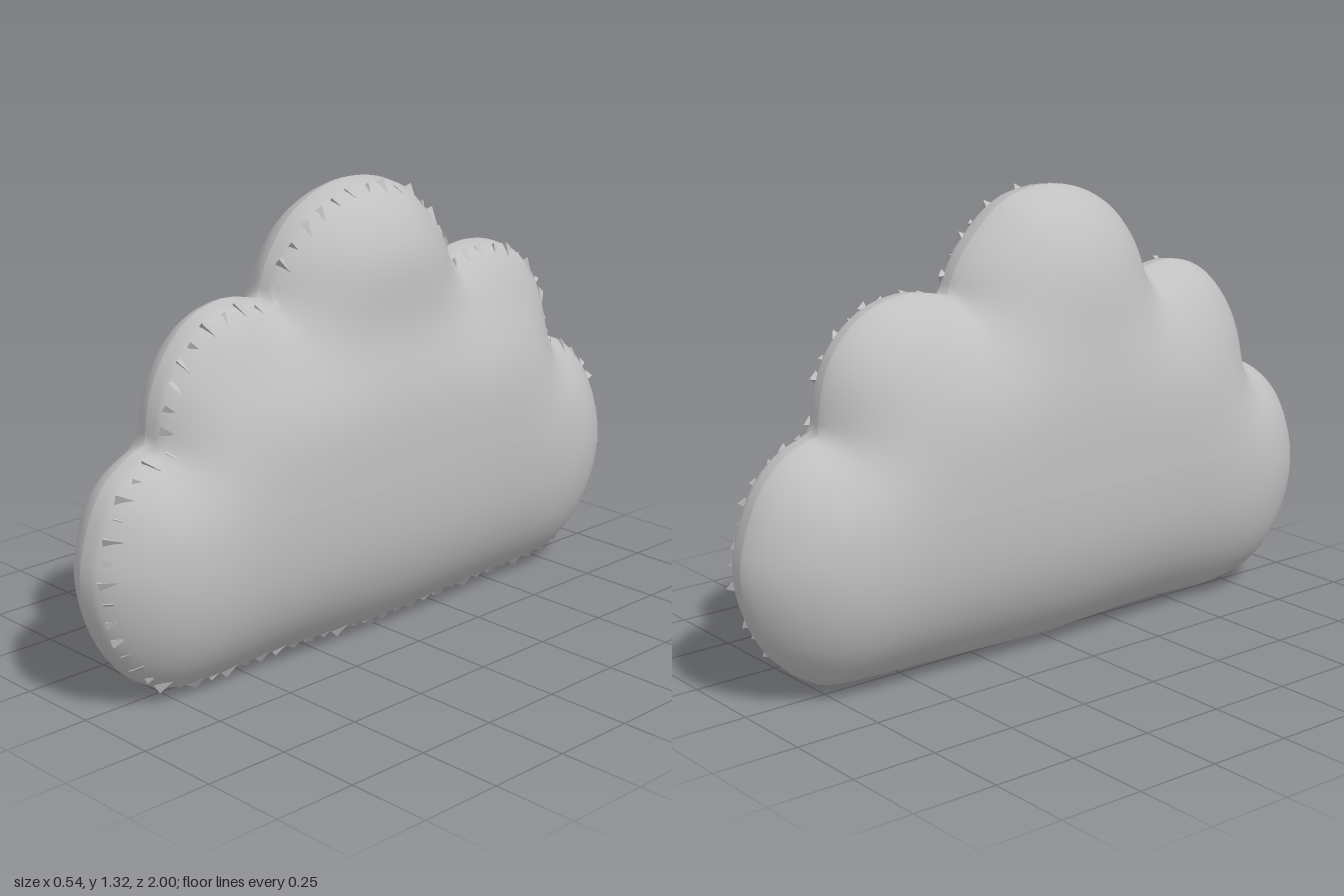
import * as THREE from 'three';

// Cloud outline as [z, y], one list per lobe; lobes meet in sharp notches
const LOBES = [
  [[0, 0], [0.35, 0.015], [0.65, 0.01], [0.8, 0.04], [0.9, 0.12], [0.97, 0.24], [1, 0.38], [0.98, 0.5], [0.93, 0.61], [0.85, 0.68], [0.775, 0.71]],
  [[0.775, 0.71], [0.76, 0.82], [0.71, 0.93], [0.62, 1.02], [0.5, 1.055], [0.38, 1.035]],
  [[0.38, 1.035], [0.34, 1.14], [0.26, 1.24], [0.15, 1.3], [0.02, 1.32], [-0.12, 1.29], [-0.23, 1.2], [-0.29, 1.12], [-0.32, 1.05]],
  [[-0.32, 1.05], [-0.45, 1.07], [-0.58, 1.04], [-0.68, 0.96], [-0.73, 0.86], [-0.75, 0.73]],
  [[-0.75, 0.73], [-0.85, 0.69], [-0.93, 0.61], [-0.98, 0.5], [-1, 0.38], [-0.97, 0.25], [-0.9, 0.13], [-0.8, 0.05], [-0.7, 0.02], [-0.35, 0.01], [0, 0]],
];
const RINGS = 18;

// The left half has a blunter rim and sinks more below the top lobe
const LEFT = { side: 1, power: 0.62, rim: 0.022, dip: 0.15 };
const RIGHT = { side: -1, power: 0.7, rim: 0, dip: 0.05 };

function makeOutline() {
  const pts = [];
  for (const lobe of LOBES) {
    const curve = new THREE.SplineCurve(lobe.map(([z, y]) => new THREE.Vector2(z, y)));
    const p = curve.getSpacedPoints(Math.round(curve.getLength() / 0.03));
    p.pop(); // shared with the next lobe
    pts.push(...p);
  }
  return pts;
}

// Smooth distance to the outline: inverse-cube integral over its segments
function softDistance(p, outline) {
  let sum = 0;
  outline.forEach((a, i) => {
    const b = outline[(i + 1) % outline.length];
    const len = a.distanceTo(b);
    const ux = (b.x - a.x) / len, uy = (b.y - a.y) / len;
    const s0 = (a.x - p.x) * ux + (a.y - p.y) * uy;
    const cross = (a.x - p.x) * uy - (a.y - p.y) * ux;
    const d2 = Math.max(cross * cross, 1e-7);
    const s1 = s0 + len;
    sum += (s1 / Math.sqrt(d2 + s1 * s1) - s0 / Math.sqrt(d2 + s0 * s0)) / d2;
  });
  return Math.sqrt(2 / sum);
}

const bump = (v, centre, width) => Math.exp(-(((v - centre) / width) ** 2));

// Point on one half: t = 0 at the seam, t = 1 on the central spine
function surfacePoint(outline, half, i, t) {
  const o = outline[i];
  const spine = new THREE.Vector2(THREE.MathUtils.clamp(o.x * 0.6, -0.55, 0.55), 0.5);
  const p = o.clone().lerp(spine, t);
  if (t === 0) return new THREE.Vector3(0, p.y, p.x);
  const d = softDistance(p, outline);
  const q = Math.min(d / 0.42, 1);
  const taper = (1 - half.dip * bump(p.y, 0.93, 0.15)) * (1 - 0.06 * bump(Math.abs(p.x), 0.52, 0.18));
  const x = 0.27 * Math.pow(1 - (1 - q) ** 2, half.power) * taper + half.rim * Math.exp(-d / 0.03);
  return new THREE.Vector3(x * half.side, p.y, p.x);
}

// One inflated half of the cushion
function makeHalf(outline, half) {
  const n = outline.length, pos = [], idx = [];
  for (let k = 0; k <= RINGS; k++) {
    const t = Math.pow(k / RINGS, 1.7);
    for (let i = 0; i < n; i++) pos.push(...surfacePoint(outline, half, i, t).toArray());
  }
  for (let k = 0; k < RINGS; k++) {
    for (let i = 0; i < n; i++) {
      const a = k * n + i, b = k * n + (i + 1) % n, c = a + n, d = b + n;
      if (half.side > 0) idx.push(a, c, b, b, c, d);
      else idx.push(a, b, c, b, d, c);
    }
  }
  const g = new THREE.BufferGeometry();
  g.setAttribute('position', new THREE.Float32BufferAttribute(pos, 3));
  g.setIndex(idx);
  g.computeVertexNormals();
  return g;
}

export function createModel() {
  const group = new THREE.Group();
  group.name = 'cloudCushion';
  const fabric = new THREE.MeshStandardMaterial({ color: 0xc0c0c0 });
  fabric.name = 'greyFabric';
  const outline = makeOutline();

  for (const [name, half] of [['leftHalf', LEFT], ['rightHalf', RIGHT]]) {
    const mesh = new THREE.Mesh(makeHalf(outline, half), fabric);
    mesh.name = name;
    group.add(mesh);
  }

  // Small pointed puckers beside the seam, on the left half only
  const fold = new THREE.ConeGeometry(0.014, 0.045, 3).toNonIndexed();
  fold.computeVertexNormals();
  const folds = new THREE.Group();
  folds.name = 'seamPuckers';
  const up = new THREE.Vector3(0, 1, 0);
  for (let i = 1; i < outline.length; i += 2) {
    const reach = outline[i].distanceTo(new THREE.Vector2(outline[i].x * 0.6, 0.5));
    const p = surfacePoint(outline, LEFT, i, 0.015 / reach);
    const q = surfacePoint(outline, LEFT, i, 0.045 / reach);
    const dir = q.clone().sub(p).normalize();
    dir.z += 0.4 * Math.sin(i * 2.3);
    const m = new THREE.Mesh(fold, fabric);
    m.name = 'pucker';
    m.position.copy(p).lerp(q, 0.4);
    m.quaternion.setFromUnitVectors(up, dir.normalize());
    m.scale.setScalar(1 + 0.3 * Math.sin(i * 1.7));
    folds.add(m);
  }
  group.add(folds);
  return group;
}
